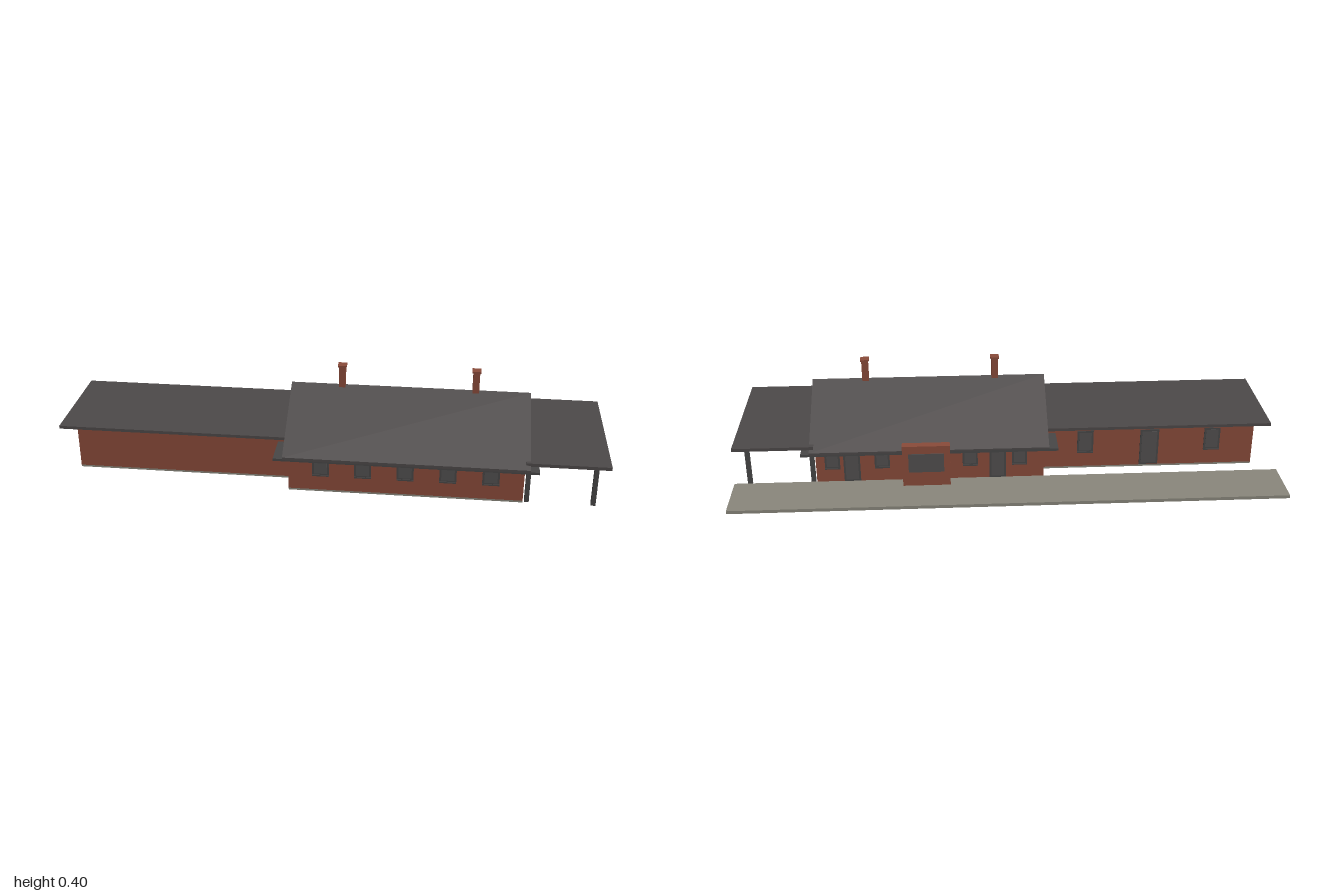
import * as THREE from 'three';

const mat = (name, color) => {
  const m = new THREE.MeshStandardMaterial({ color });
  m.name = name;
  return m;
};

export function createModel() {
  const brick = mat('brick', 0x8a4b3a);
  const roof = mat('roof slate', 0x4d4949);
  const concrete = mat('concrete', 0x8a877c);
  const trim = mat('dark trim', 0x484747);
  const glass = mat('window glass', 0x525050);

  const model = new THREE.Group();
  model.name = 'stationBuilding';

  // Box given by its limits on each axis
  const box = (name, material, [x0, x1], [y0, y1], [z0, z1], parent = model) => {
    const mesh = new THREE.Mesh(new THREE.BoxGeometry(x1 - x0, y1 - y0, z1 - z0), material);
    mesh.position.set((x0 + x1) / 2, (y0 + y1) / 2, (z0 + z1) / 2);
    mesh.name = name;
    parent.add(mesh);
    return mesh;
  };

  // Cross-section given as [z, y] points, extruded along x
  const section = (name, material, points, x0, x1) => {
    const shape = new THREE.Shape(points.map(([z, y]) => new THREE.Vector2(-z, y)));
    const geo = new THREE.ExtrudeGeometry(shape, { depth: x1 - x0, bevelEnabled: false });
    geo.rotateY(Math.PI / 2).translate(x0, 0, 0);
    const mesh = new THREE.Mesh(geo, material);
    mesh.name = name;
    model.add(mesh);
  };

  // Platform and floor slabs
  box('platform', concrete, [-1, 1], [0, 0.012], [-0.342, -0.153]);
  box('mainFloor', concrete, [-0.13, 0.7], [0, 0.007], [-0.153, 0.297]);
  box('wingFloor', concrete, [-0.92, -0.13], [0, 0.007], [-0.08, 0.215]);

  // Main hall with gabled ends
  const ridge = 0.072;
  section('mainWalls', brick,
    [[0.297, 0.007], [0.297, 0.172], [ridge, 0.31], [-0.153, 0.172], [-0.153, 0.007]], -0.13, 0.7);
  section('mainRoof', roof,
    [[0.343, 0.155], [ridge, 0.321], [-0.199, 0.155], [-0.199, 0.145], [ridge, 0.309], [0.343, 0.145]],
    -0.145, 0.716);
  box('eaves', trim, [-0.178, 0.747], [0.14, 0.149], [-0.199, 0.343]);

  // Low flat-roofed wing
  box('wingWalls', brick, [-0.92, -0.13], [0.007, 0.18], [-0.08, 0.215]);
  box('wingRoof', roof, [-0.97, -0.13], [0.18, 0.191], [-0.124, 0.262]);

  // Bay on the platform side
  box('bay', brick, [0.213, 0.385], [0.007, 0.172], [-0.2005, -0.15]);
  box('bayWindow', glass, [0.235, 0.363], [0.068, 0.142], [-0.203, -0.2]);

  // Canopy with posts and beams
  box('canopyRoof', roof, [0.701, 0.99], [0.162, 0.174], [-0.187, 0.326]);
  for (const z of [0.284, -0.138]) {
    for (const x of [0.714, 0.945]) {
      box('canopyPost', trim, [x - 0.008, x + 0.008], [0, 0.162], [z - 0.008, z + 0.008]);
    }
    box('canopyBeam', trim, [0.701, 0.965], [0.147, 0.162], [z - 0.011, z + 0.011]);
  }

  // Chimneys
  for (const x of [0.04, 0.52]) {
    box('chimney', brick, [x - 0.012, x + 0.012], [0.295, 0.394], [ridge - 0.012, ridge + 0.012]);
    box('chimneyCap', brick, [x - 0.016, x + 0.016], [0.394, 0.4], [ridge - 0.016, ridge + 0.016]);
  }

  // Window or door: thin frame plate with a pane on its outer face
  const opening = (name, x, y0, y1, w, wall, out) => {
    const g = new THREE.Group();
    g.name = name;
    model.add(g);
    const plate = (part, m, inset, d) => {
      const zs = [wall, wall + out * d].sort((a, b) => a - b);
      box(part, m, [x - w / 2 + inset, x + w / 2 - inset], [y0 + inset, y1 - inset], zs, g);
    };
    plate('frame', trim, 0, 0.003);
    plate('pane', glass, 0.007, 0.004);
    if (name === 'window') {
      const zs = [wall, wall + out * 0.006].sort((a, b) => a - b);
      box('sill', trim, [x - w / 2, x + w / 2], [y0 - 0.003, y0 + 0.002], zs, g);
    }
  };

  // Front windows
  for (let i = 0; i < 5; i++) opening('window', -0.015 + i * 0.15, 0.067, 0.14, 0.06, 0.297, 1);

  // Platform-side openings of the hall
  for (const x of [0.64, 0.46, 0.14, -0.04]) opening('window', x, 0.067, 0.138, 0.055, -0.153, -1);
  for (const x of [0.57, 0.04]) opening('door', x, 0.013, 0.138, 0.06, -0.153, -1);

  // Platform-side openings of the wing
  for (const x of [-0.29, -0.765]) opening('window', x, 0.068, 0.155, 0.06, -0.08, -1);
  opening('door', -0.53, 0.01, 0.155, 0.07, -0.08, -1);

  return model;
}
